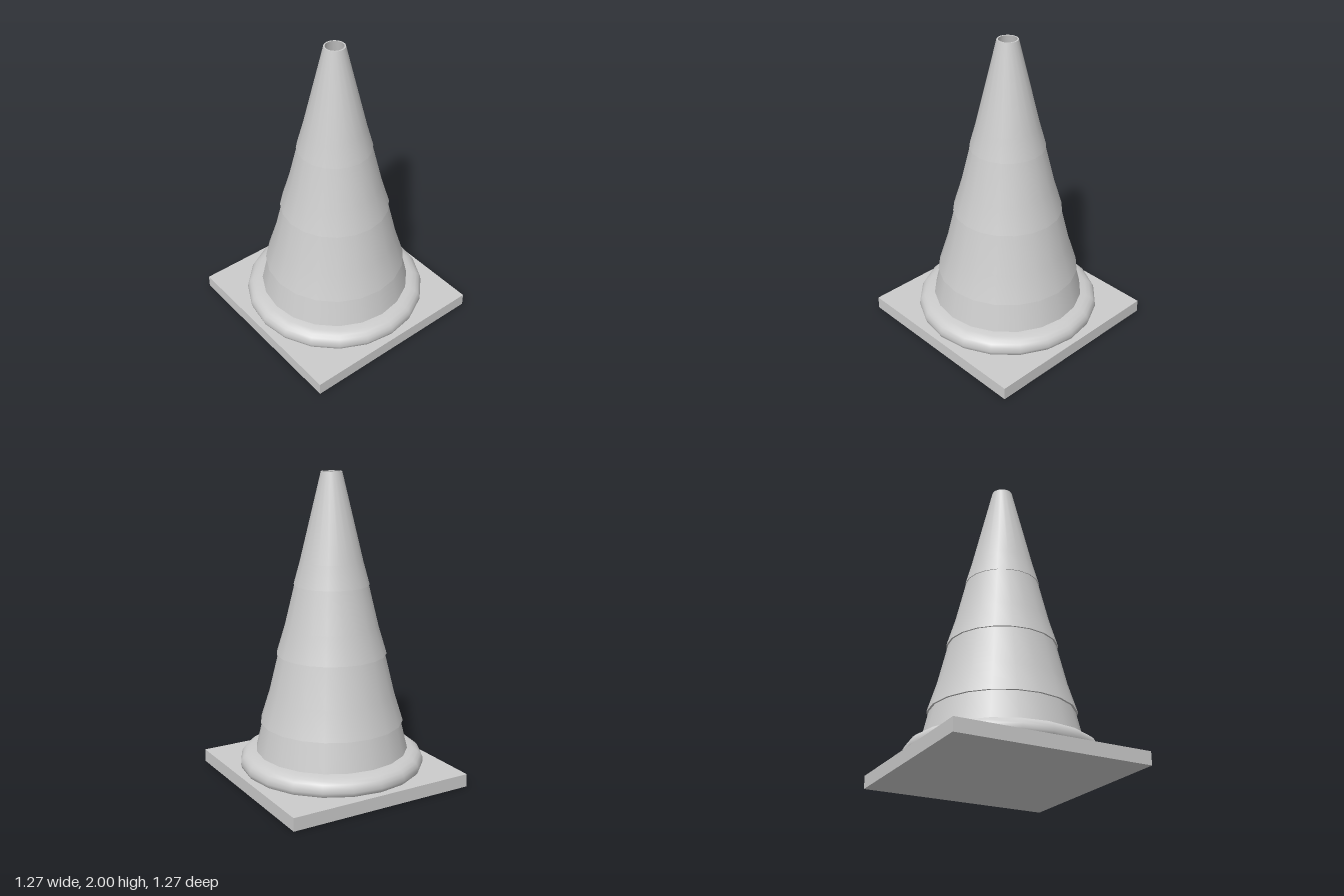
import * as THREE from 'three';

const SIDES = 20;
const material = new THREE.MeshStandardMaterial({ color: 0xcccccc });

// Radius of the plain cone at a given height
const coneRadius = (y) => 0.5 - (0.433 * (y - 0.2)) / 1.8;

export function createModel() {
  const group = new THREE.Group();

  const add = (name, geometry) => {
    const mesh = new THREE.Mesh(geometry, material);
    mesh.name = name;
    group.add(mesh);
  };
  // Each profile is its own smooth surface, so joints between them stay sharp
  const turn = (name, profile) =>
    add(name, new THREE.LatheGeometry(profile.map(([r, y]) => new THREE.Vector2(r, y)), SIDES));

  // Square base plate
  const base = new THREE.BoxGeometry(1.27, 0.085, 1.27);
  base.translate(0, 0.0425, 0);
  add('basePlate', base);

  // Rounded foot ring
  turn('footRing', [
    [0.585, 0.08], [0.598, 0.093], [0.605, 0.115], [0.601, 0.143],
    [0.588, 0.165], [0.568, 0.181], [0.538, 0.194], [0.498, 0.2],
  ]);

  // Lower cone wall up to the first sleeve
  turn('lowerCone', [[0.5, 0.198], [coneRadius(0.39), 0.39]]);

  // Sleeves with a small overhang, each blending into the cone above it
  const sleeves = [
    { bottom: 0.39, blend: 0.58, top: 0.84, radius: 0.468 },
    { bottom: 0.84, blend: 1.02, top: 1.29, radius: 0.357 },
    { bottom: 1.29, blend: 1.44, top: 2, radius: 0.243 },
  ];
  sleeves.forEach(({ bottom, blend, top, radius }, i) => {
    turn(`sleeveLip${i + 1}`, [[coneRadius(bottom), bottom], [radius, bottom]]);
    turn(`sleeve${i + 1}`, [[radius, bottom], [coneRadius(blend), blend], [coneRadius(top), top]]);
  });

  // Open tip: narrow rim and the hollow inside wall
  turn('tipRim', [[coneRadius(2), 2], [0.058, 2]]);
  turn('innerWall', [[0.058, 2], [0.48, 0.085]]);

  return group;
}
